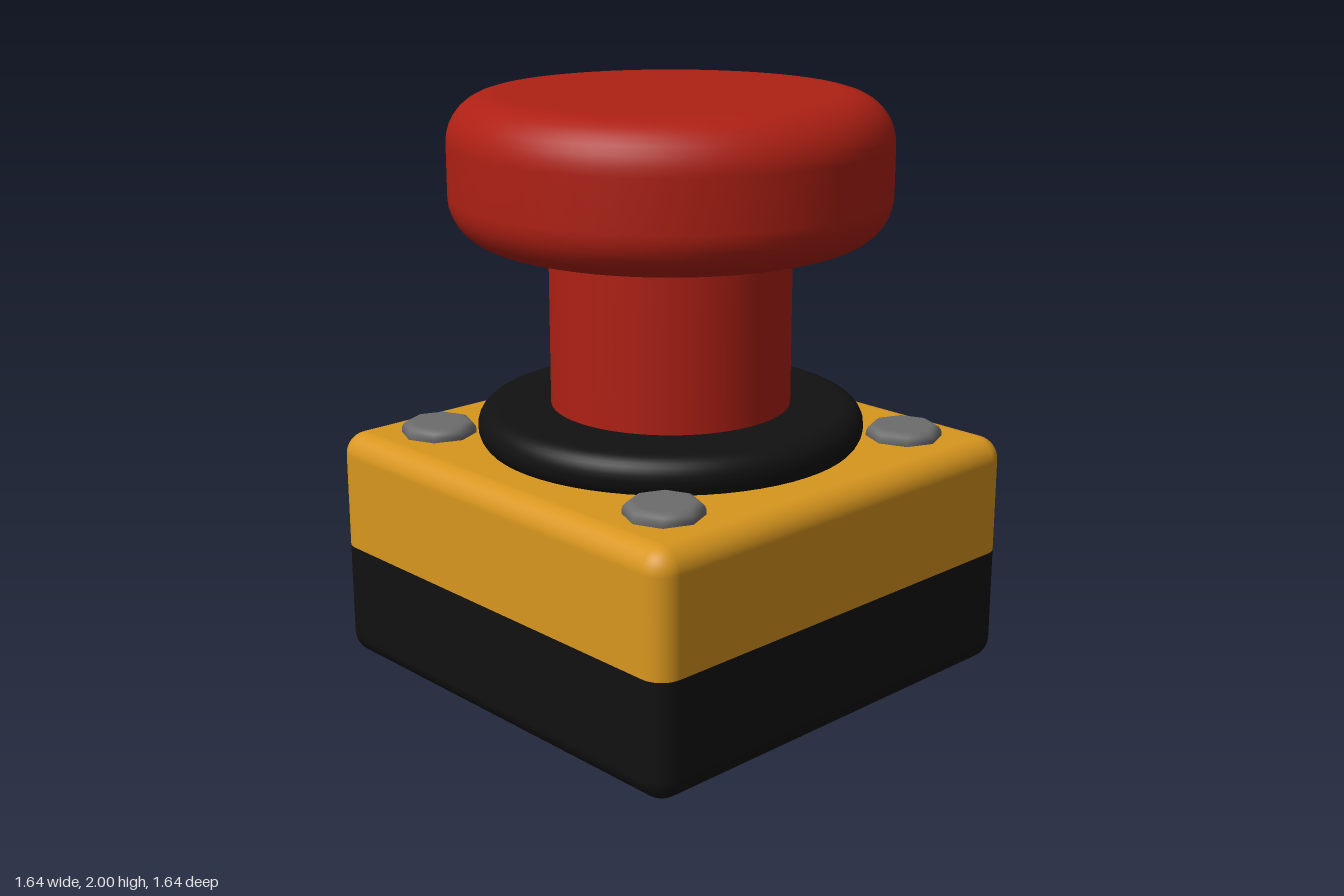
import * as THREE from 'three';
import { RoundedBoxGeometry } from 'three/addons/geometries/RoundedBoxGeometry.js';

const paint = (color) => new THREE.MeshStandardMaterial({ color });

// Solid disc from y0 to y1 with rounded rims
function roundedDisc(radius, y0, y1, corner, segments = 64) {
  const inner = radius - corner;
  const points = [new THREE.Vector2(0, y0), new THREE.Vector2(inner * 0.98, y0)];
  const steps = 8;
  for (const [cy, start] of [[y0 + corner, -Math.PI / 2], [y1 - corner, 0]]) {
    for (let i = 0; i <= steps; i++) {
      const a = start + (i / steps) * Math.PI / 2;
      points.push(new THREE.Vector2(inner + corner * Math.cos(a), cy + corner * Math.sin(a)));
    }
  }
  points.push(new THREE.Vector2(inner * 0.98, y1), new THREE.Vector2(0, y1));
  return new THREE.LatheGeometry(points, segments);
}

// One half of the rounded housing, cut flat at the seam
function housingHalf(upper) {
  const seam = 0.41;
  const geometry = new RoundedBoxGeometry(1.64, 0.82, 1.64, 5, 0.08);
  geometry.translate(0, seam, 0);
  const pos = geometry.attributes.position;
  for (let i = 0; i < pos.count; i++) {
    const y = pos.getY(i);
    pos.setY(i, upper ? Math.max(y, seam) : Math.min(y, seam));
  }
  return geometry;
}

export function createModel() {
  const model = new THREE.Group();
  model.name = 'pushButton';
  const black = paint(0x111111);
  const yellow = paint(0xd8961e);
  const red = paint(0xae2014);
  const grey = paint(0x6c6c6c);

  const add = (name, geometry, material) => {
    const mesh = new THREE.Mesh(geometry, material);
    mesh.name = name;
    model.add(mesh);
    return mesh;
  };

  // Two-tone housing
  add('lowerHousing', housingHalf(false), black);
  add('upperHousing', housingHalf(true), yellow);

  // Collar, stem and mushroom cap
  add('collar', roundedDisc(0.66, 0.80, 0.945, 0.07), black);
  const stem = add('stem', new THREE.CylinderGeometry(0.41, 0.41, 0.68, 64), red);
  stem.position.y = 1.24;
  add('buttonCap', roundedDisc(0.74, 1.51, 2, 0.16), red);

  // Eight-sided bolt heads at the corners
  const boltHead = roundedDisc(0.13, 0.79, 0.862, 0.033, 8);
  for (const x of [-0.567, 0.567]) {
    for (const z of [-0.567, 0.567]) {
      const name = (z > 0 ? 'front' : 'back') + (x > 0 ? 'Left' : 'Right') + 'Bolt';
      add(name, boltHead, grey).position.set(x, 0, z);
    }
  }
  return model;
}
